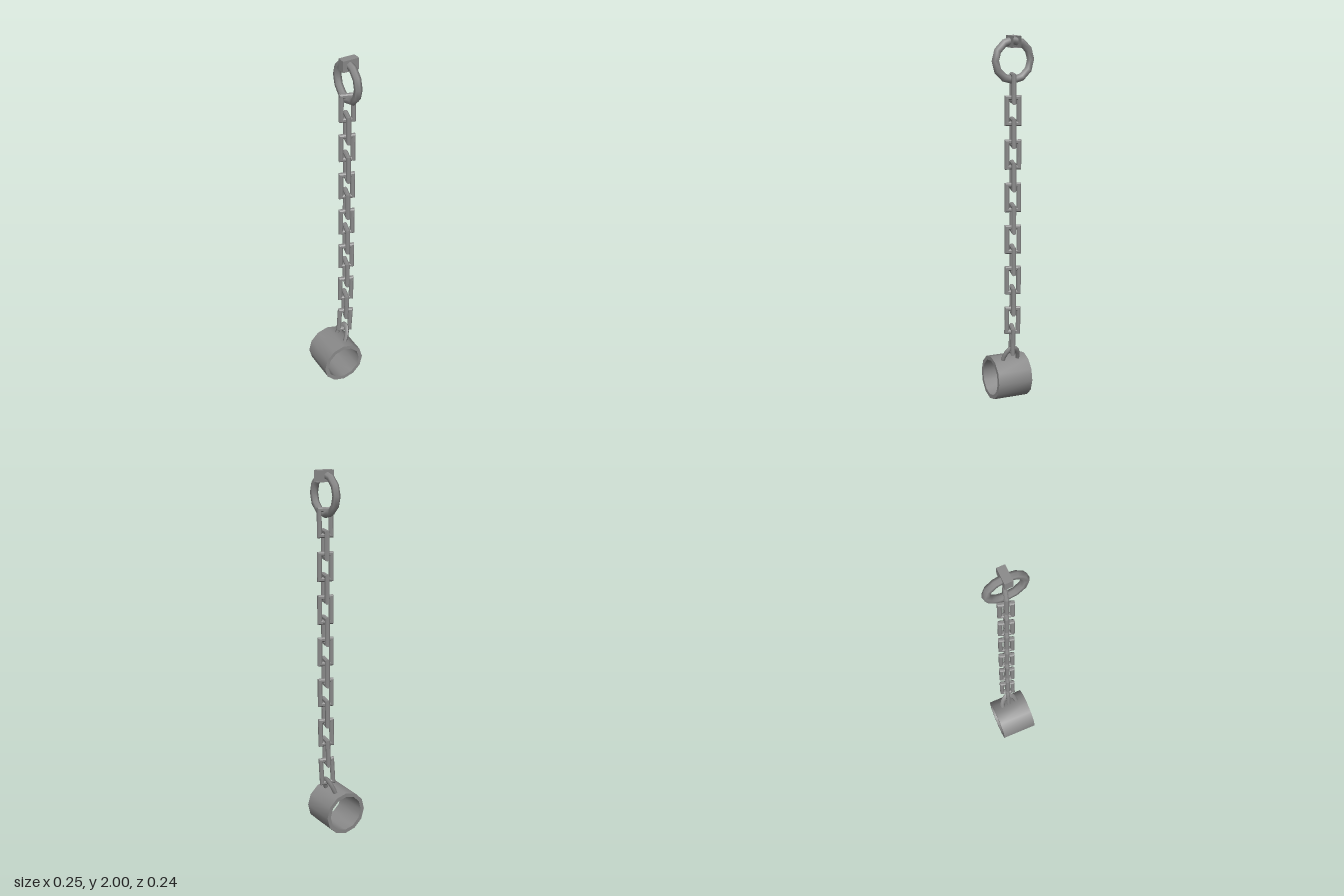
import * as THREE from 'three';
import { toCreasedNormals } from 'three/addons/utils/BufferGeometryUtils.js';

const metal = new THREE.MeshStandardMaterial({ color: 0x8a8a8a });
const openMetal = new THREE.MeshStandardMaterial({ color: 0x8a8a8a, side: THREE.DoubleSide });

function addPart(parent, name, geometry, x, y, z, material = metal) {
  const mesh = new THREE.Mesh(geometry, material);
  mesh.name = name;
  mesh.position.set(x, y, z);
  parent.add(mesh);
  return mesh;
}

function rectangle(path, w, h) {
  path.moveTo(-w / 2, -h / 2);
  path.lineTo(w / 2, -h / 2);
  path.lineTo(w / 2, h / 2);
  path.lineTo(-w / 2, h / 2);
  path.closePath();
  return path;
}

// Rectangular chain link with chamfered bars, centred on its own origin
function linkGeometry(width, height, bar, depth) {
  const c = 0.006;
  const shape = rectangle(new THREE.Shape(), width - 2 * c, height - 2 * c);
  shape.holes.push(rectangle(new THREE.Path(), width - 2 * bar + 2 * c, height - 2 * bar + 2 * c));
  const geo = new THREE.ExtrudeGeometry(shape, {
    depth: depth - 2 * c, bevelEnabled: true, bevelSize: c, bevelThickness: c, bevelSegments: 1,
  });
  geo.translate(0, 0, -(depth - 2 * c) / 2);
  return geo;
}

export function createModel() {
  const model = new THREE.Group();
  model.name = 'chainWithCuff';

  // Mounting block, open on its +x end (the first face of the box), and the big ring
  const block = new THREE.BoxGeometry(0.09, 0.06, 0.044);
  block.setIndex(Array.from(block.index.array).slice(6));
  block.clearGroups();
  addPart(model, 'mountingBlock', block, 0.075, 1.97, 0, openMetal);
  const ring = addPart(model, 'wallRing', new THREE.TorusGeometry(0.1, 0.021, 6, 12), 0.069, 1.876, 0);
  ring.rotation.y = Math.PI / 2;

  // Chain: every second link is turned a quarter, all are twisted a little,
  // and the lowest ones lean to the cuff
  const chain = new THREE.Group();
  chain.name = 'chain';
  model.add(chain);
  const link = linkGeometry(0.086, 0.157, 0.023, 0.024);
  for (let i = 0; i < 13; i++) {
    const lean = (Math.max(0, i - 8) / 4) ** 2;
    const mesh = addPart(chain, 'chainLink', link, 0.069 - 0.007 * lean, 1.733 - 0.1145 * i, 0);
    mesh.rotation.order = 'ZYX';
    mesh.rotation.y = (i % 2 ? Math.PI / 2 : 0) - 0.3;
    mesh.rotation.z = -0.06 * lean;
  }

  // Shackle loop joining the last link to the cuff
  const loop = new THREE.TorusGeometry(0.045, 0.012, 6, 8, Math.PI);
  loop.scale(1, 1.75, 1);
  loop.rotateY(Math.PI / 2);
  loop.rotateZ(-0.38);
  loop.computeVertexNormals();
  addPart(model, 'shackle', loop, 0.037, 0.235, 0);

  // Cuff: a thick open tube lying along z, slightly tilted
  const profile = [[0.122, -0.1], [0.122, 0.1], [0.1, 0.1], [0.1, -0.1], [0.122, -0.1]]
    .map(([r, y]) => new THREE.Vector2(r, y));
  const tube = new THREE.LatheGeometry(profile, 12);
  tube.rotateX(Math.PI / 2);
  const cuff = addPart(model, 'cuff', toCreasedNormals(tube, 0.6), 0, 0.126, 0.002);
  cuff.rotation.set(-0.03, -0.03, 0);

  return model;
}
